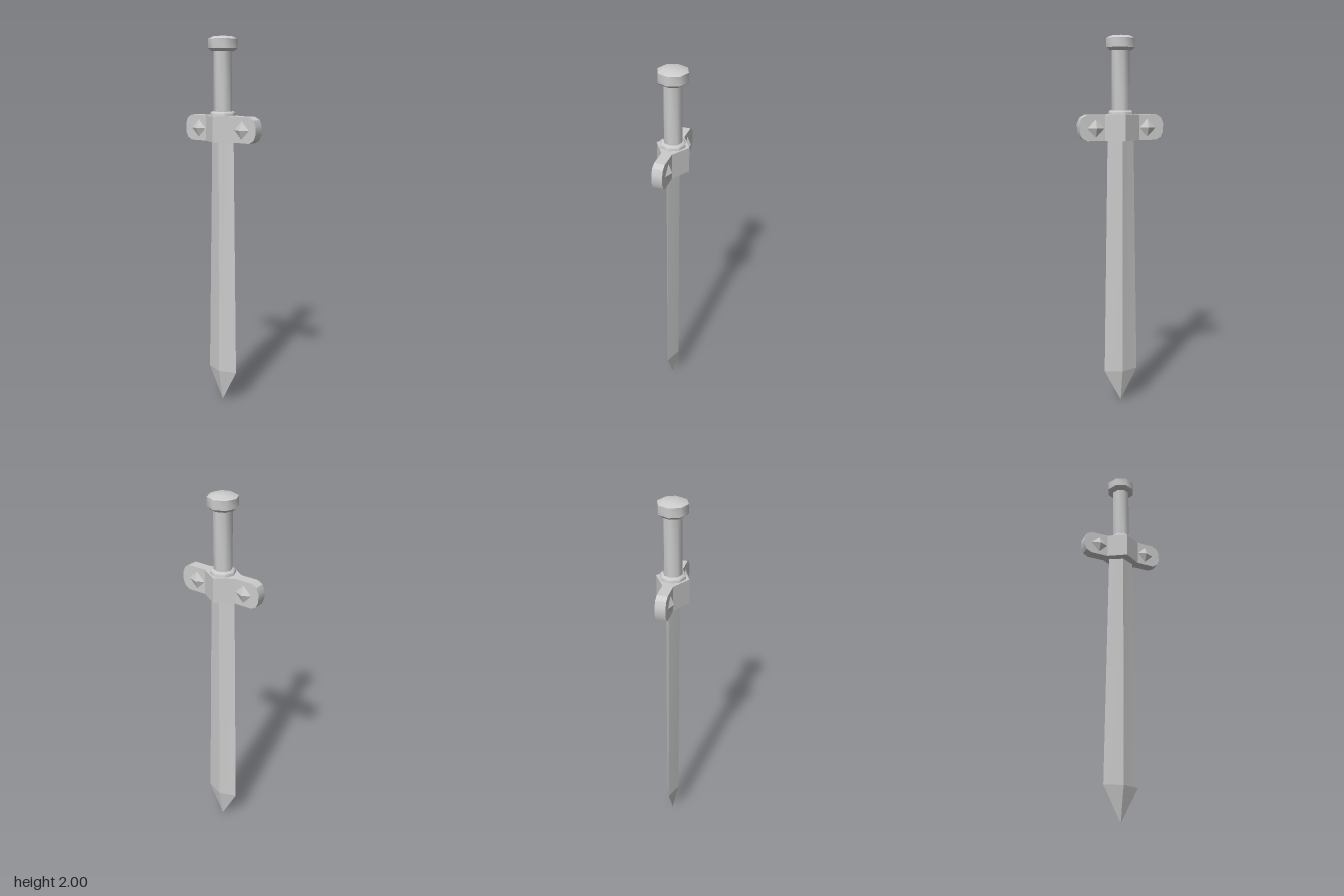
import * as THREE from 'three';
import { toCreasedNormals } from 'three/addons/utils/BufferGeometryUtils.js';

const material = new THREE.MeshStandardMaterial({ color: 0xcccccc });

function part(name, geometry, crease = 0.85) {
  const mesh = new THREE.Mesh(toCreasedNormals(geometry, crease), material);
  mesh.name = name;
  return mesh;
}

// Closed skin over four-cornered rings, with the first and last ring capped
function loft(rings) {
  const positions = [];
  const tri = (a, b, c) => {
    const area = new THREE.Triangle(a, b, c).getArea();
    if (area > 1e-9) for (const p of [a, b, c]) positions.push(p.x, p.y, p.z);
  };
  const quad = (a, b, c, d) => { tri(a, b, c); tri(a, c, d); };
  for (let i = 0; i < rings.length - 1; i++) {
    const r = rings[i], s = rings[i + 1];
    for (let j = 0; j < 4; j++) {
      const k = (j + 1) % 4;
      quad(r[j], r[k], s[k], s[j]);
    }
  }
  const first = rings[0], last = rings[rings.length - 1];
  quad(first[3], first[2], first[1], first[0]);
  quad(last[0], last[1], last[2], last[3]);
  const geometry = new THREE.BufferGeometry();
  geometry.setAttribute('position', new THREE.Float32BufferAttribute(positions, 3));
  return geometry;
}

// Eight-sided turned part from [radius, height] pairs, bottom to top
function turned(name, profile) {
  const points = profile.map(([r, y]) => new THREE.Vector2(r, y));
  return part(name, new THREE.LatheGeometry(points, 8));
}

export function createModel() {
  const sword = new THREE.Group();
  sword.name = 'sword';
  const v = (x, y, z) => new THREE.Vector3(x, y, z);

  // Blade: diamond section widening towards the point [y, half width, half depth]
  const blade = [[0, 0, 0], [0.18, 0.093, 0.035], [1.5, 0.071, 0.035]];
  sword.add(part('blade', loft(blade.map(([y, w, d]) =>
    [v(w, y, 0), v(0, y, -d), v(-w, y, 0), v(0, y, d)])), 0.1));

  // Crossguard: rounded arms swelling to a ridged middle [x, half height, half depth]
  const guardY = 1.528;
  const half = [[0.23, 0.022, 0.027], [0.217, 0.052, 0.027], [0.19, 0.067, 0.027], [0.093, 0.067, 0.027]];
  const guard = [
    ...half.map(([x, h, d]) => [-x, h, d]),
    [0, 0.067, 0.085],
    ...half.slice().reverse(),
  ];
  sword.add(part('crossguard', loft(guard.map(([x, h, d]) => [
    v(x, guardY - h, -d), v(x, guardY + h, -d), v(x, guardY + h, d), v(x, guardY - h, d),
  ])), 0.5));

  // Pyramid studs on both faces of each arm
  for (const side of [-1, 1]) {
    for (const face of [-1, 1]) {
      const cone = new THREE.ConeGeometry(0.049, 0.021, 4);
      cone.rotateX(face * Math.PI / 2);
      const stud = part('guardStud', cone, 0.1);
      stud.position.set(side * 0.142, guardY - 0.002, face * 0.0365);
      sword.add(stud);
    }
  }

  // Collar, grip and pommel
  sword.add(turned('collar', [[0, 1.58], [0.066, 1.58], [0.066, 1.609], [0.058, 1.617], [0, 1.617]]));
  sword.add(turned('grip', [[0.048, 1.6], [0.048, 1.935]]));
  sword.add(turned('pommel', [
    [0, 1.922], [0.058, 1.922], [0.077, 1.937], [0.077, 1.984], [0.05, 1.996], [0, 2],
  ]));

  return sword;
}
